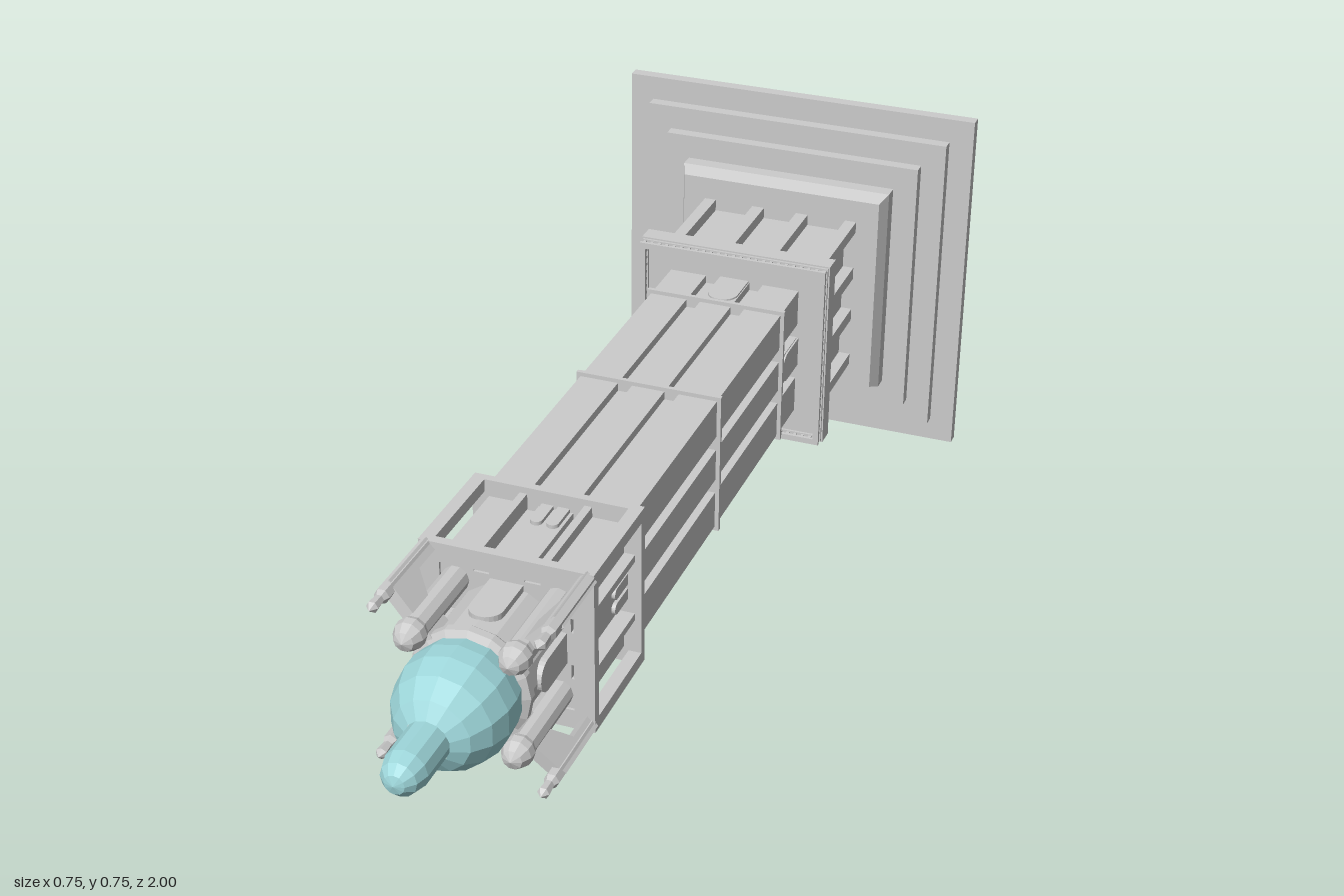
import * as THREE from 'three';

const grey = new THREE.MeshStandardMaterial({ color: 0xcccccc, flatShading: true });
const teal = new THREE.MeshStandardMaterial({ color: 0x9fd8dc, flatShading: true });

function add(parent, name, geometry, material = grey) {
  const mesh = new THREE.Mesh(geometry, material);
  mesh.name = name;
  parent.add(mesh);
  return mesh;
}

// Box given by its limits on each axis
function box(parent, name, x0, x1, y0, y1, z0, z1) {
  const mesh = add(parent, name, new THREE.BoxGeometry(x1 - x0, y1 - y0, z1 - z0));
  mesh.position.set((x0 + x1) / 2, (y0 + y1) / 2, (z0 + z1) / 2);
  return mesh;
}

// Square tier along z, with half widths h0 and h1 at its two ends
function tier(parent, name, z0, z1, h0, h1 = h0) {
  const g = new THREE.CylinderGeometry(h1 * Math.SQRT2, h0 * Math.SQRT2, z1 - z0, 4);
  g.rotateY(Math.PI / 4).rotateX(Math.PI / 2).translate(0, 0, (z0 + z1) / 2);
  return add(parent, name, g);
}

// Turned part around z from [radius, z] pairs
function turned(parent, name, points, sides, material) {
  const g = new THREE.LatheGeometry(points.map(p => new THREE.Vector2(...p)), sides);
  return add(parent, name, g.rotateX(Math.PI / 2), material);
}

// Square outline with two grooves in each side
function groovedSquare(h, depth, inner, outer) {
  const side = [[-h, h], [-outer, h], [-outer, h - depth], [-inner, h - depth], [-inner, h],
    [inner, h], [inner, h - depth], [outer, h - depth], [outer, h]];
  const points = [];
  for (let k = 0; k < 4; k++) {
    for (const [x, y] of side) {
      points.push(new THREE.Vector2(x, y).rotateAround(new THREE.Vector2(), -k * Math.PI / 2));
    }
  }
  return new THREE.Shape(points);
}

function prism(parent, name, shape, z0, z1) {
  const g = new THREE.ExtrudeGeometry(shape, { depth: z1 - z0, bevelEnabled: false });
  return add(parent, name, g.translate(0, 0, z0));
}

function squareRing(parent, name, outer, inner, z0, z1) {
  const corners = h => [[-h, -h], [h, -h], [h, h], [-h, h]].map(p => new THREE.Vector2(...p));
  const shape = new THREE.Shape(corners(outer));
  shape.holes.push(new THREE.Path(corners(inner)));
  return prism(parent, name, shape, z0, z1);
}

// Arched block on the +y face, its head pointing to +z
function arch(parent, name, x, half, y0, y1, z0, z1) {
  const s = new THREE.Shape();
  s.moveTo(x - half, z0);
  s.lineTo(x + half, z0);
  s.lineTo(x + half, z1 - half);
  s.absarc(x, z1 - half, half, 0, Math.PI);
  s.lineTo(x - half, z0);
  const g = new THREE.ExtrudeGeometry(s, { depth: y1 - y0, bevelEnabled: false, curveSegments: 6 });
  return add(parent, name, g.rotateX(Math.PI / 2).translate(0, y1, 0));
}

// Plate in the y-z plane, centred on x
function fin(parent, name, points, x, width) {
  const s = new THREE.Shape(points.map(([y, z]) => new THREE.Vector2(-z, y)));
  const g = new THREE.ExtrudeGeometry(s, { depth: width, bevelEnabled: false });
  return add(parent, name, g.translate(0, 0, -width / 2).rotateY(Math.PI / 2).translate(x, 0, 0));
}

export function createModel() {
  const model = new THREE.Group();
  model.name = 'tower';
  const tower = new THREE.Group();
  tower.name = 'towerBody';
  tower.position.y = 0.375;
  model.add(tower);

  // Stepped base
  [0.375, 0.325, 0.275].forEach((h, i) => tier(tower, 'baseStep', -1 + i * 0.025, -0.975 + i * 0.025, h));
  tier(tower, 'baseStep', -0.925, -0.895, 0.225);
  tier(tower, 'baseStepBevel', -0.895, -0.865, 0.225, 0.213);

  // Lower stage and gallery
  tier(tower, 'lowerCore', -0.865, -0.6, 0.142);
  tier(tower, 'galleryCorbel', -0.645, -0.615, 0.15, 0.19);
  tier(tower, 'gallerySlab', -0.615, -0.577, 0.198);
  squareRing(tower, 'galleryRail', 0.195, 0.183, -0.562, -0.555);
  squareRing(tower, 'galleryCurb', 0.195, 0.183, -0.577, -0.572);

  // Grooved main shaft with double bands
  prism(tower, 'mainShaft', groovedSquare(0.135, 0.016, 0.032, 0.06), -0.577, 0.33);
  for (const z of [-0.47, -0.1]) {
    squareRing(tower, 'shaftBand', 0.14, 0.115, z - 0.006, z);
    squareRing(tower, 'shaftBand', 0.143, 0.115, z, z + 0.008);
  }

  // Belfry cage
  tier(tower, 'cageCollar', 0.312, 0.335, 0.137, 0.157);
  tier(tower, 'cageFloor', 0.335, 0.35, 0.157);
  prism(tower, 'cageCore', groovedSquare(0.125, 0.012, 0.032, 0.06), 0.35, 0.56);
  squareRing(tower, 'cageTopFrame', 0.157, 0.12, 0.547, 0.565);

  // Drum, dome and lantern
  turned(tower, 'drum', [[0, 0.55], [0.1, 0.55], [0.1, 0.69], [0.108, 0.7], [0.108, 0.715], [0.09, 0.725]], 16);
  turned(tower, 'dome', [[0.095, 0.715], [0.102, 0.75], [0.102, 0.785], [0.091, 0.825], [0.068, 0.86], [0.04, 0.878]], 14, teal);
  turned(tower, 'lantern', [[0.039, 0.865], [0.039, 0.955], [0.032, 0.98], [0.018, 0.995], [0, 1]], 12, teal);

  // Parts repeated on the four sides
  for (let k = 0; k < 4; k++) {
    const side = new THREE.Group();
    side.name = 'towerSide';
    side.rotation.z = k * Math.PI / 2;
    tower.add(side);

    for (const x of [-0.048, 0.048]) {
      fin(side, 'lowerRib', [[0.13, -0.865], [0.165, -0.865], [0.165, -0.645], [0.188, -0.615], [0.13, -0.615]], x, 0.026);
    }
    box(side, 'lowerCornerPost', 0.142, 0.166, 0.142, 0.166, -0.865, -0.61);
    for (let i = 0; i < 24; i++) {
      const x = -0.189 + i * 0.378 / 24;
      box(side, 'railPost', x - 0.003, x + 0.003, 0.185, 0.193, -0.573, -0.561);
    }
    arch(side, 'galleryDoor', 0, 0.03, 0.11, 0.1385, -0.577, -0.48);
    for (const x of [-0.015, 0.015]) arch(side, 'cageWindow', x, 0.011, 0.11, 0.132, 0.35, 0.41);
    for (const x of [-0.06, 0.06]) box(side, 'cageMullion', x - 0.007, x + 0.007, 0.115, 0.145, 0.35, 0.55);
    box(side, 'cageCornerPost', 0.133, 0.157, 0.133, 0.157, 0.35, 0.55);
    arch(side, 'drumDoor', 0, 0.03, 0.08, 0.106, 0.56, 0.67);

    // Corner pinnacle, round turret and flying buttress
    const pinnacle = turned(side, 'pinnacle', [[0.014, 0.56], [0.014, 0.725], [0.009, 0.735], [0.011, 0.76], [0, 0.772]], 6);
    pinnacle.position.set(0.145, 0.145, 0);
    const turret = turned(side, 'turret', [[0.024, 0.55], [0.024, 0.72], [0.028, 0.73], [0.027, 0.745], [0.018, 0.762], [0, 0.77]], 10);
    turret.position.set(0.092, 0.092, 0);
    const buttress = fin(side, 'flyingButtress',
      [[0.09, 0.72], [0.09, 0.66], [0.15, 0.655], [0.19, 0.625], [0.19, 0.56], [0.215, 0.56], [0.215, 0.7], [0.2, 0.705]], 0, 0.024);
    buttress.rotation.z = -Math.PI / 4;
  }
  return model;
}
